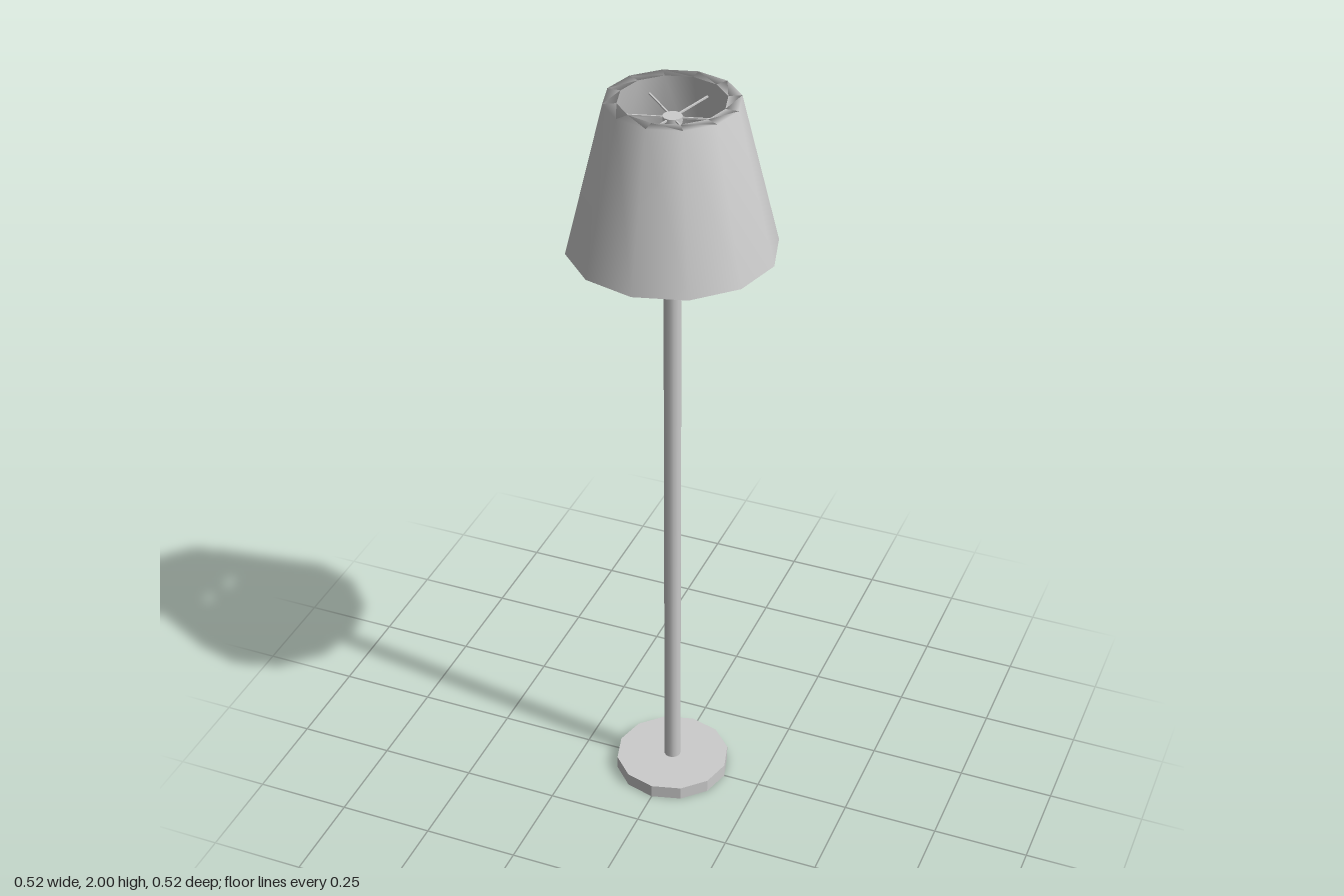
import * as THREE from 'three';

const SIDES = 12;
const grey = new THREE.MeshStandardMaterial({ color: 0xcccccc });
const flatGrey = new THREE.MeshStandardMaterial({ color: 0xcccccc, flatShading: true });
const yellow = new THREE.MeshStandardMaterial({ color: 0xe2dc9c });

function add(parent, name, geometry, material, x = 0, y = 0, z = 0) {
  const mesh = new THREE.Mesh(geometry, material);
  mesh.name = name;
  mesh.position.set(x, y, z);
  parent.add(mesh);
  return mesh;
}

export function createModel() {
  const lamp = new THREE.Group();
  lamp.name = 'floorLamp';

  // Foot and pole
  add(lamp, 'base', new THREE.CylinderGeometry(0.152, 0.152, 0.036, SIDES), flatGrey, 0, 0.018, 0);
  add(lamp, 'pole', new THREE.CylinderGeometry(0.022, 0.022, 1.92, SIDES), grey, 0, 0.99, 0);
  add(lamp, 'poleCap', new THREE.CylinderGeometry(0.024, 0.024, 0.015, SIDES), grey, 0, 1.952, 0);

  // Thick-walled tapered shade: up the outside, over the rim, down the inside
  const profile = [
    [0.258, 1.615], [0.163, 2], [0.13, 2], [0.237, 1.615], [0.258, 1.615],
  ].map(([r, y]) => new THREE.Vector2(r, y));
  add(lamp, 'shade', new THREE.LatheGeometry(profile, SIDES), grey);

  // Three thin bars crossing the pole make six spokes that carry the shade
  for (let i = 0; i < 3; i++) {
    const spoke = add(lamp, 'shadeSpoke', new THREE.BoxGeometry(0.276, 0.004, 0.004), grey, 0, 1.955, 0);
    spoke.rotation.y = THREE.MathUtils.degToRad(15 + 60 * i);
  }

  // Crossbar with a splayed socket and bulb on each side
  const crossbar = add(lamp, 'crossbar', new THREE.CylinderGeometry(0.02, 0.02, 0.1, 8), grey, 0, 1.83, 0);
  crossbar.rotation.z = Math.PI / 2;
  for (const side of [1, -1]) {
    const holder = new THREE.Group();
    holder.name = side > 0 ? 'leftBulbHolder' : 'rightBulbHolder';
    holder.position.set(side * 0.045, 1.845, 0);
    holder.rotation.z = side * 0.36;
    add(holder, 'socket', new THREE.CylinderGeometry(0.021, 0.021, 0.09, 8), grey, 0, -0.045, 0);
    const bulb = add(holder, 'bulb', new THREE.SphereGeometry(0.036, 16, 12), yellow, 0, -0.125, 0);
    bulb.scale.y = 1.2;
    lamp.add(holder);
  }
  return lamp;
}
